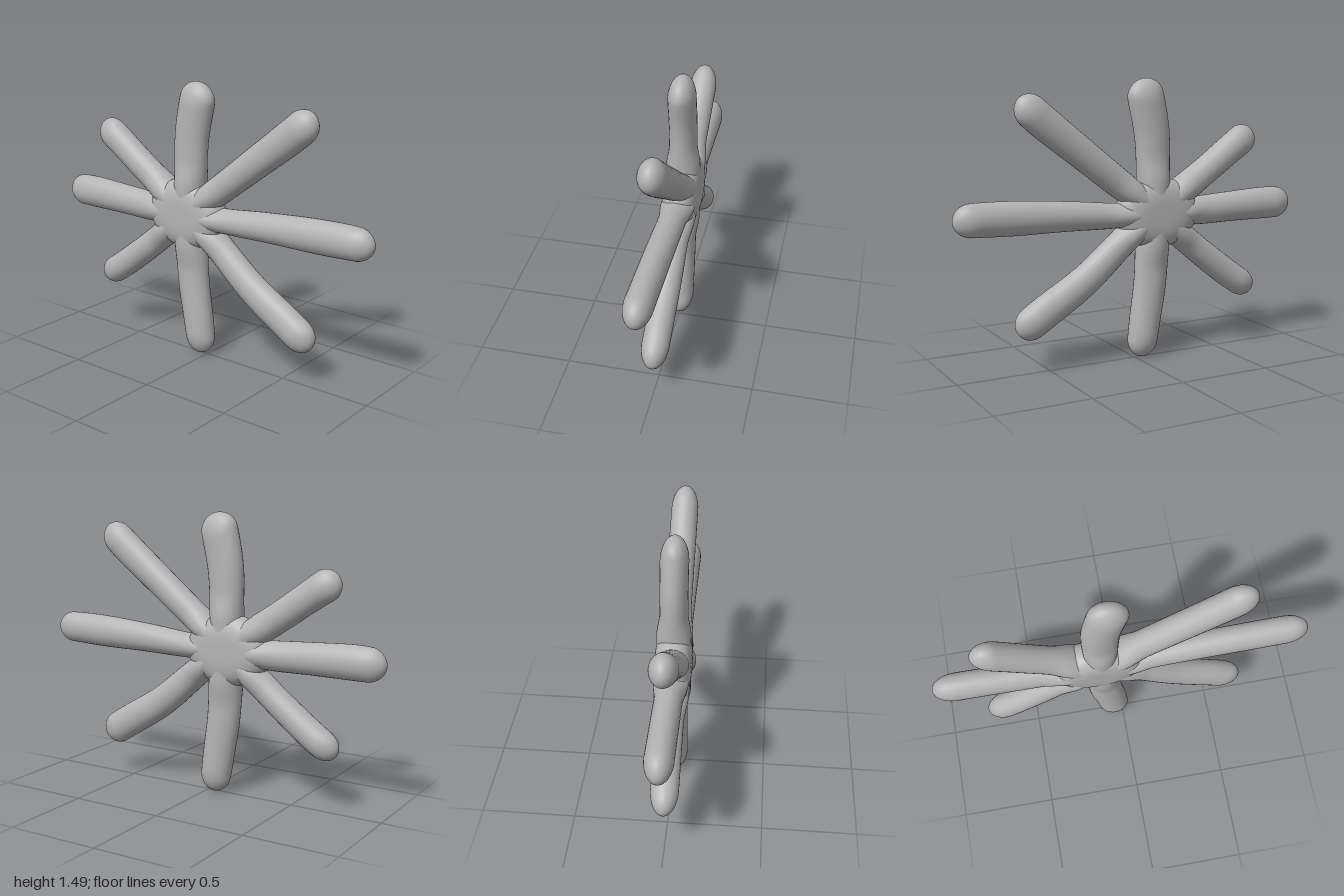
import * as THREE from 'three';
import { mergeVertices } from 'three/addons/utils/BufferGeometryUtils.js';

const HUB = { x: -0.13, y: 0.78, rx: 0.245, ry: 0.19, depth: 0.094 };

// Each arm: [x, y, half-width] stations from the hub out to the tip
const ARMS = {
  rightSideArm: [[-0.13, 0.78, 0.06], [-0.37, 0.775, 0.077], [-0.6, 0.782, 0.083], [-0.85, 0.787, 0.089], [-1.0, 0.782, 0.083]],
  leftSideArm: [[-0.13, 0.78, 0.05], [0.1, 0.78, 0.065], [0.4, 0.797, 0.078], [0.7, 0.808, 0.088], [0.9, 0.813, 0.085], [1.0, 0.81, 0.08]],
  topArm: [[-0.12, 0.78, 0.08], [-0.112, 0.95, 0.09], [-0.104, 1.2, 0.1], [-0.066, 1.4, 0.103], [-0.045, 1.49, 0.1]],
  bottomArm: [[-0.12, 0.78, 0.08], [-0.107, 0.6, 0.092], [-0.093, 0.4, 0.092], [-0.063, 0.2, 0.088], [-0.035, 0.0, 0.08]],
  upperLeftArm: [[-0.12, 0.79, 0.06], [0.035, 0.905, 0.074], [0.3, 1.11, 0.081], [0.56, 1.315, 0.086], [0.648, 1.398, 0.08]],
  lowerLeftArm: [[-0.12, 0.78, 0.06], [0.04, 0.665, 0.073], [0.295, 0.453, 0.083], [0.53, 0.305, 0.088], [0.672, 0.213, 0.085]],
  upperRightArm: [[-0.13, 0.79, 0.06], [-0.28, 0.885, 0.077], [-0.44, 0.99, 0.078], [-0.59, 1.095, 0.08], [-0.742, 1.198, 0.086]],
  lowerRightArm: [[-0.13, 0.78, 0.06], [-0.25, 0.675, 0.07], [-0.44, 0.52, 0.074], [-0.62, 0.385, 0.076], [-0.75, 0.3, 0.074]],
};

// Quarter-ellipse rounding over the last stretch before the tip
const roundOff = (d, length) => (d >= length ? 1 : Math.sqrt(Math.max(0, 1 - (1 - d / length) ** 2)));

// Loft oval rings along a curve whose third coordinate holds the half-width
function armGeometry(stations) {
  const curve = new THREE.CatmullRomCurve3(stations.map((s) => new THREE.Vector3(...s)));
  const length = curve.getLength();
  const rings = 56, sides = 28;
  const positions = [], index = [];
  for (let i = 0; i <= rings; i++) {
    const u = Math.sin((i / rings) * Math.PI / 2); // rings crowd towards the tip
    const p = curve.getPointAt(u);
    const t = curve.getTangentAt(u).setZ(0).normalize();
    const fromTip = (1 - u) * length;
    const fromHub = Math.hypot(p.x - HUB.x, p.y - HUB.y);
    const swell = 0.018 * (1 - THREE.MathUtils.smoothstep(fromHub, 0.16, 0.31));
    const width = p.z * Math.max(0.002, roundOff(fromTip, 0.09));
    const depth = (0.072 + swell) * Math.max(0.002, roundOff(fromTip, 0.13));
    for (let j = 0; j < sides; j++) {
      const a = (j / sides) * Math.PI * 2;
      const w = Math.cos(a) * width;
      positions.push(p.x - t.y * w, p.y + t.x * w, Math.sin(a) * depth);
      if (i === rings) continue;
      const k = (j + 1) % sides, r = i * sides, n = r + sides;
      index.push(r + j, r + k, n + j, r + k, n + k, n + j);
    }
  }
  const geometry = new THREE.BufferGeometry();
  geometry.setAttribute('position', new THREE.Float32BufferAttribute(positions, 3));
  geometry.setIndex(index);
  geometry.computeVertexNormals();
  return geometry;
}

// Oval pebble with flattened faces and a rounded rim
function hubGeometry() {
  let geometry = new THREE.SphereGeometry(1, 64, 40).rotateX(Math.PI / 2);
  geometry.deleteAttribute('uv');
  geometry.deleteAttribute('normal');
  const pos = geometry.attributes.position;
  for (let i = 0; i < pos.count; i++) {
    const x = pos.getX(i), y = pos.getY(i), z = pos.getZ(i);
    const r = Math.min(1, Math.hypot(x, y));
    const dome = Math.abs(z) < 1e-6 ? 0 : Math.sign(z) * Math.sqrt(1 - r ** 4);
    pos.setXYZ(i, HUB.x + x * HUB.rx, HUB.y + y * HUB.ry, dome * HUB.depth);
  }
  geometry = mergeVertices(geometry, 1e-5);
  geometry.computeVertexNormals();
  return geometry;
}

export function createModel() {
  const model = new THREE.Group();
  model.name = 'eightArmedStar';
  const grey = new THREE.MeshStandardMaterial({ color: 0xb4b4b4 });
  grey.name = 'grey';

  const add = (name, geometry) => {
    const mesh = new THREE.Mesh(geometry, grey);
    mesh.name = name;
    model.add(mesh);
  };
  add('hub', hubGeometry());
  for (const [name, stations] of Object.entries(ARMS)) add(name, armGeometry(stations));
  return model;
}
